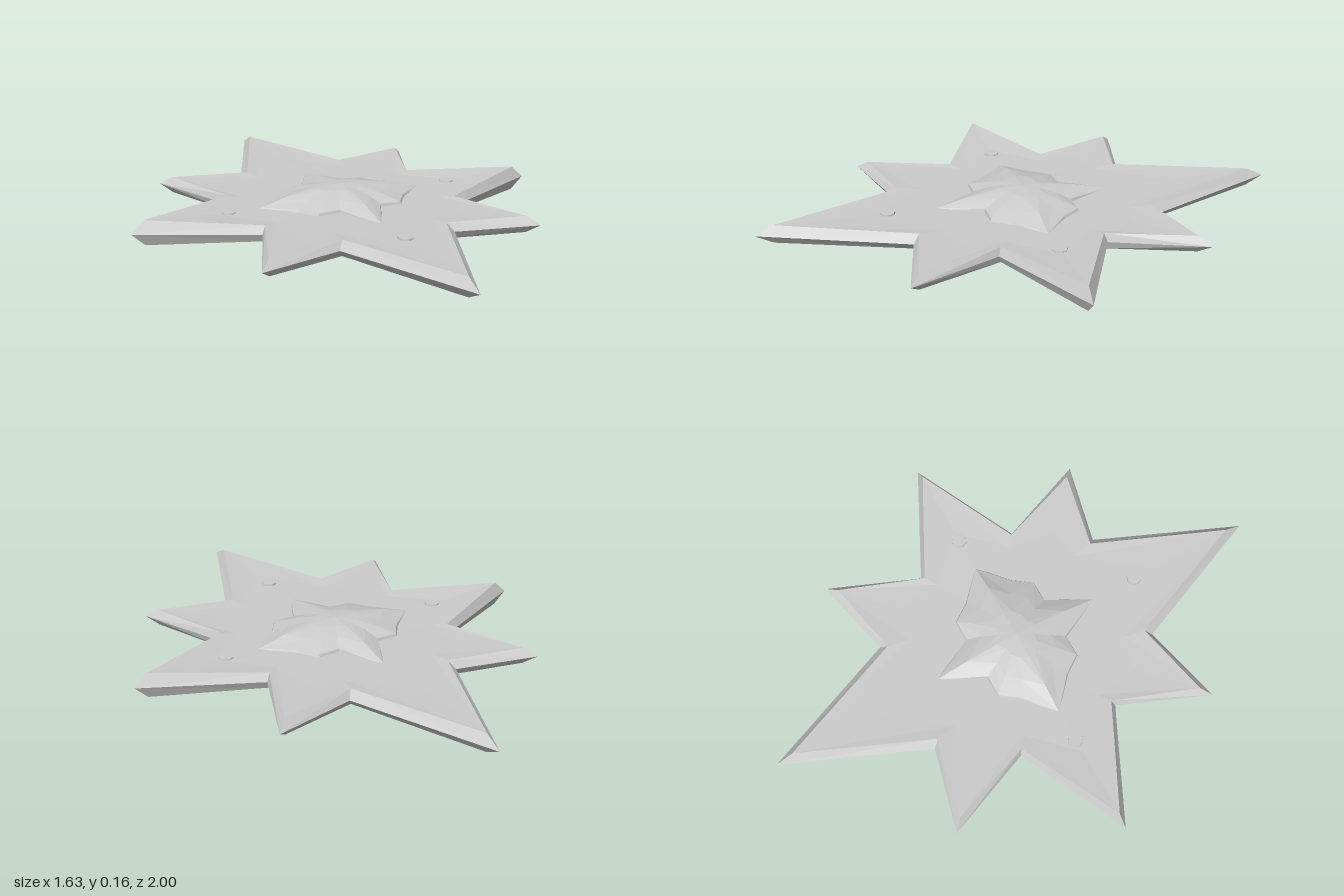
import * as THREE from 'three';

const MID = 0.0785; // height of the symmetry plane

// Mirrors a quarter outline (+x tip round to +z tip, each point [x, z, height]) into a full ring.
function fullRing(q) {
  const mx = q.slice(0, -1).reverse().map(([x, z, h]) => [-x, z, h]);
  const half = [...q, ...mx];
  const back = half.slice(1, -1).reverse().map(([x, z, h]) => [x, -z, h]);
  return [...half, ...back];
}

// Skins nested rings from rim to peak, on one side (s = 1 upper, -1 lower).
function shell(quarters, peak, s) {
  const rings = quarters.map(fullRing);
  const n = rings[0].length;
  const pos = [];
  const tri = (a, b, c) => {
    const order = s > 0 ? [a, c, b] : [a, b, c];
    for (const [x, z, h] of order) pos.push(x, MID + s * h, z);
  };
  for (let r = 0; r < rings.length; r++) {
    for (let i = 0; i < n; i++) {
      const j = (i + 1) % n;
      const a = rings[r][i], b = rings[r][j];
      if (r === rings.length - 1) {
        tri(a, b, [0, 0, peak]);
        continue;
      }
      const c = rings[r + 1][j], d = rings[r + 1][i];
      // keep the diagonals mirrored: always spring from the even (tip) vertex
      if (i % 2 === 0) { tri(a, b, c); tri(a, c, d); }
      else { tri(a, b, d); tri(b, c, d); }
    }
  }
  const g = new THREE.BufferGeometry();
  g.setAttribute('position', new THREE.Float32BufferAttribute(pos, 3));
  g.computeVertexNormals();
  return g;
}

export function createModel() {
  const model = new THREE.Group();
  model.name = 'starOrnament';
  const mat = new THREE.MeshStandardMaterial({ color: 0xcccccc, flatShading: true });
  const add = (name, geometry) => {
    const m = new THREE.Mesh(geometry, mat);
    m.name = name;
    model.add(m);
    return m;
  };

  // Eight-pointed plate: sharp rim, bevel edge, shallow core
  const plate = [
    [[0.817, 0, 0], [0.4, 0.2, 0], [0.54, 0.54, 0], [0.225, 0.465, 0], [0, 1, 0]],
    [[0.767, 0, 0.047], [0.385, 0.19, 0.03], [0.5, 0.503, 0.031], [0.205, 0.44, 0.03], [0, 0.93, 0.035]],
    [[0.5, 0, 0.029], [0.34, 0.16, 0.025], [0.32, 0.33, 0.025], [0.19, 0.36, 0.025], [0, 0.6, 0.027]],
  ];

  // Faceted boss: star rim, ridged shoulder, gently domed crown
  const boss = [
    [[0.333, 0, 0.022], [0.22, 0.1, 0.022], [0.17, 0.17, 0.022], [0.085, 0.17, 0.022], [0, 0.342, 0.02]],
    [[0.325, 0, 0.028], [0.215, 0.097, 0.034], [0.166, 0.166, 0.034], [0.083, 0.166, 0.036], [0, 0.332, 0.026]],
    [[0.22, 0, 0.058], [0.16, 0.065, 0.054], [0.115, 0.11, 0.056], [0.06, 0.115, 0.058], [0, 0.21, 0.055]],
    [[0.1, 0, 0.074], [0.09, 0.03, 0.073], [0.06, 0.055, 0.073], [0.03, 0.06, 0.073], [0, 0.085, 0.073]],
  ];

  for (const [side, s] of [['upper', 1], ['lower', -1]]) {
    add(side + 'Plate', shell(plate, 0.024, s));
    add(side + 'Boss', shell(boss, 0.0785, s));
  }

  // Small studs on three of the long points
  for (const [name, x, z] of [['leftStud', 0.46, 0], ['rightStud', -0.45, 0], ['frontStud', 0, 0.515]]) {
    const stud = add(name, new THREE.CylinderGeometry(0.028, 0.031, 0.02, 8));
    stud.position.set(x, MID + 0.023, z);
  }

  return model;
}
